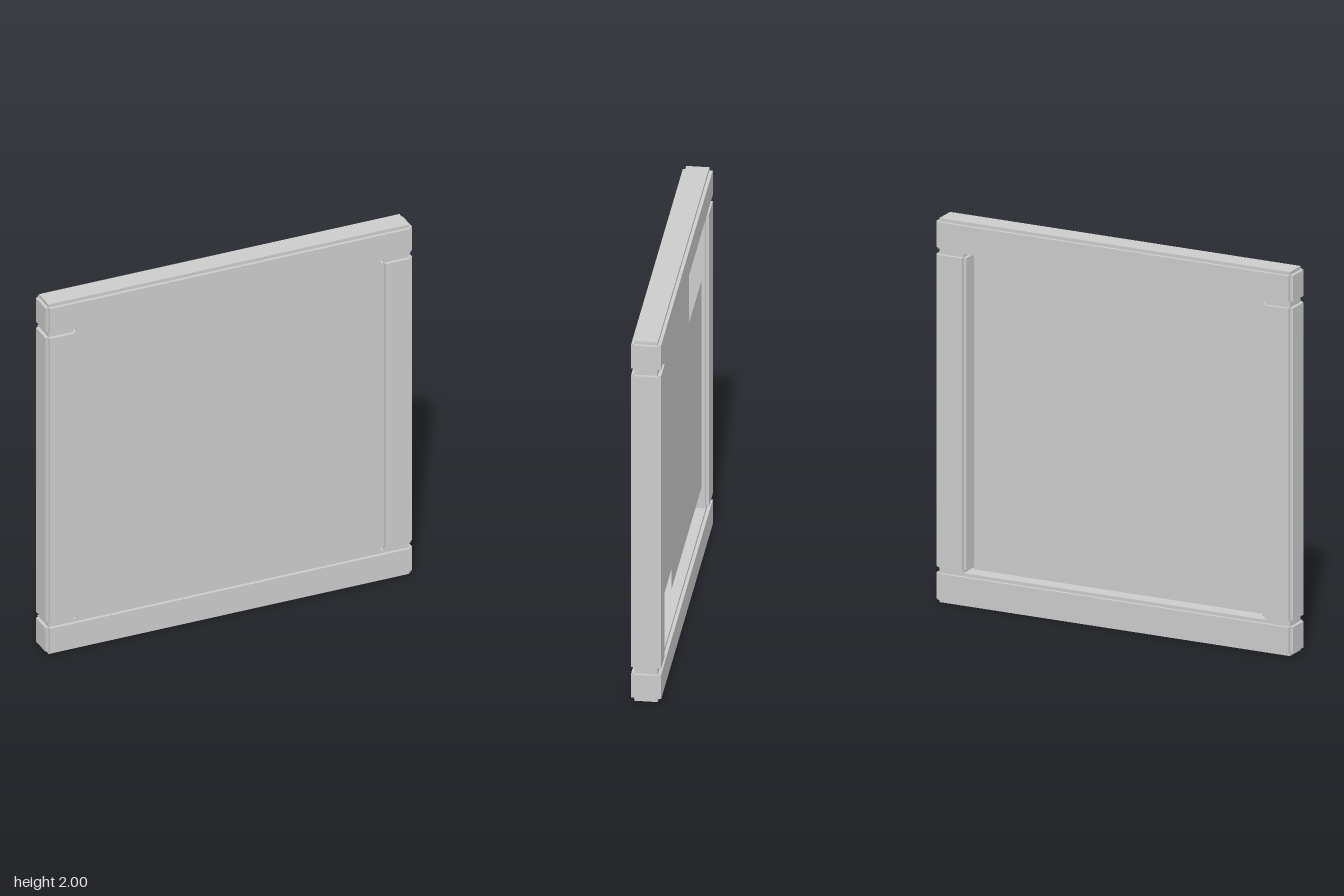
import * as THREE from 'three';

const BEVEL = 0.017; // stepped edge size
const BAR = 0.17;    // width of each frame bar
const DEPTH = 0.15;

export function createModel() {
  const model = new THREE.Group();
  const grey = new THREE.MeshStandardMaterial({ color: 0xcccccc });
  grey.name = 'light grey';
  const greySheet = new THREE.MeshStandardMaterial({ color: 0xcccccc, side: THREE.DoubleSide });
  greySheet.name = 'light grey sheet';

  // Bar with square notches along every edge: three crossed boxes, each full length on one axis
  function notchedBar(name, w, h, x, y) {
    const bar = new THREE.Group();
    bar.name = name;
    for (const axis of [0, 1, 2]) {
      const size = [w, h, DEPTH].map((s, i) => (i === axis ? s : s - 2 * BEVEL));
      const block = new THREE.Mesh(new THREE.BoxGeometry(...size), grey);
      block.name = name + 'Block';
      bar.add(block);
    }
    bar.position.set(x, y, 0);
    model.add(bar);
  }

  // Frame: full-width rails, stiles fitted between them
  notchedBar('topRail', 2, BAR, 0, 2 - BAR / 2);
  notchedBar('bottomRail', 2, BAR, 0, BAR / 2);
  notchedBar('leftStile', BAR, 2 - 2 * BAR, 1 - BAR / 2, 1);
  notchedBar('rightStile', BAR, 2 - 2 * BAR, -1 + BAR / 2, 1);

  // Panel near the front of the opening, leaving a deep recess at the back
  const inner = 2 - 2 * BAR;
  const panel = new THREE.Mesh(new THREE.BoxGeometry(inner, inner, 0.035), grey);
  panel.name = 'panel';
  panel.position.set(0, 1, DEPTH / 2 - BEVEL - 0.0175);
  model.add(panel);

  // Thin square sheet level with the back of the frame
  const sheet = new THREE.Mesh(new THREE.PlaneGeometry(1.15, 1.15), greySheet);
  sheet.name = 'backSheet';
  sheet.rotation.y = Math.PI;
  sheet.position.set(0, 1, -0.073);
  model.add(sheet);

  return model;
}
